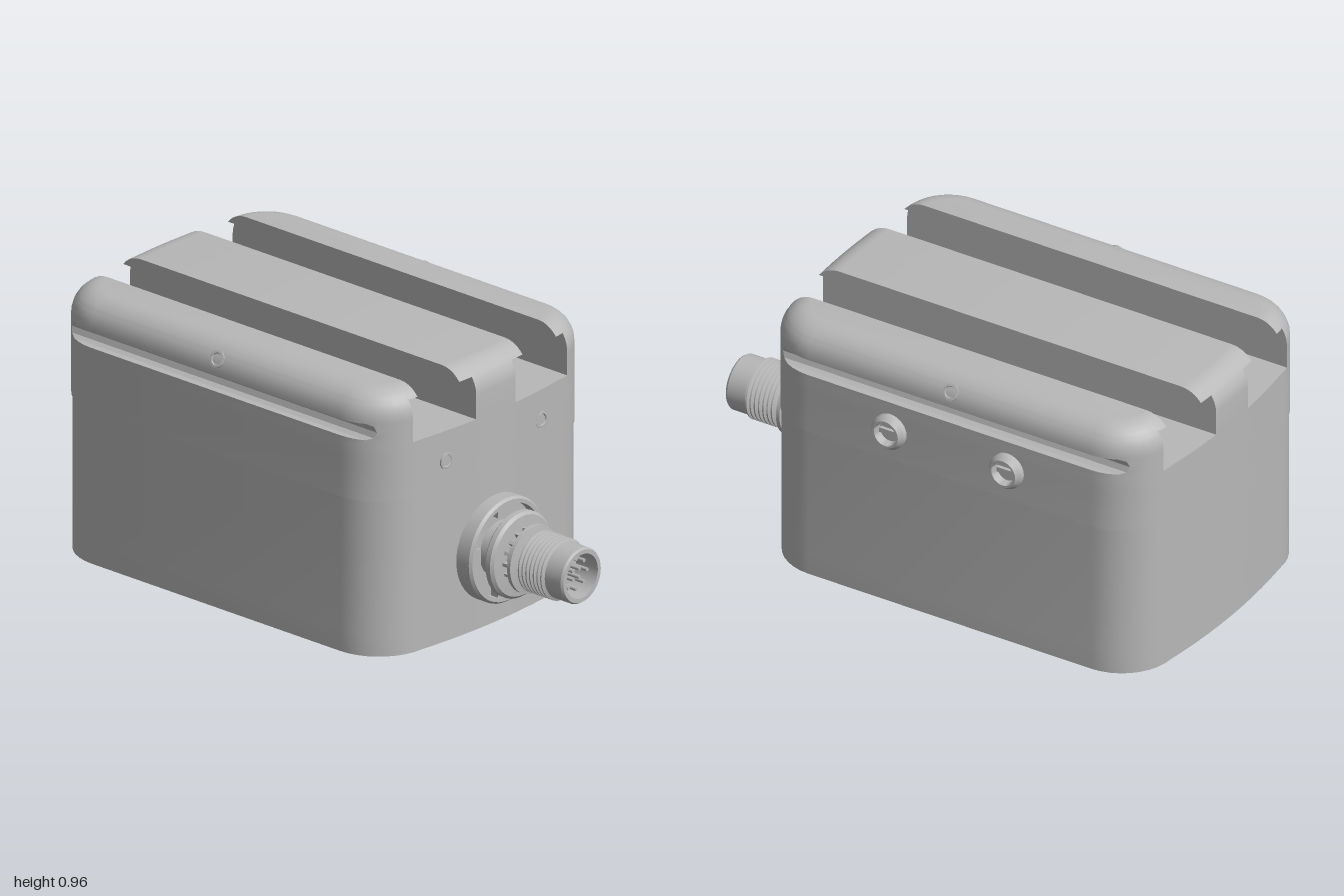
import * as THREE from 'three';
import { toCreasedNormals } from 'three/addons/utils/BufferGeometryUtils.js';

const grey = new THREE.MeshStandardMaterial({ color: 0xb8b8b8, side: THREE.DoubleSide });
grey.name = 'machined grey';

// Footprint: half length L with bowed ends, half width W, rounded corners
const L = 0.79, W = 0.545, R = 0.2, VC = W - R;
const bow = (v) => L - 0.2 * v * v;

// One section of the housing, inset by d and kept between v = a and v = b
function section(d, a, b) {
  const r = R - d, vs = [], N = 9, M = 10;
  for (let i = N; i > 0; i--) vs.push(-VC - r * Math.sin((i / N) * Math.PI / 2));
  for (let i = 0; i <= M; i++) vs.push(-VC + (2 * VC * i) / M);
  for (let i = 1; i <= N; i++) vs.push(VC + r * Math.sin((i / N) * Math.PI / 2));
  const half = vs.map((s) => {
    const v = Math.min(b, Math.max(a, s)), over = Math.abs(v) - VC;
    const u = over <= 0 ? bow(v) - d : bow(VC) - R + Math.sqrt(Math.max(0, r * r - over * over));
    return [u, v];
  });
  return [...half, ...half.slice().reverse().map(([u, v]) => [-u, v])];
}

// Solid through stacked sections, each given as [y, inset, a, b]
function loft(rings) {
  const loops = rings.map(([y, d, a = -1, b = 1]) =>
    section(d, a, b).map(([u, v]) => new THREE.Vector3(u, y, v)));
  const pos = [], n = loops[0].length;
  const tri = (...p) => {
    const area = p[1].clone().sub(p[0]).cross(p[2].clone().sub(p[0])).length();
    if (area > 1e-9) p.forEach((q) => pos.push(q.x, q.y, q.z));
  };
  for (let k = 0; k + 1 < loops.length; k++) {
    for (let i = 0; i < n; i++) {
      const j = (i + 1) % n, lo = loops[k], hi = loops[k + 1];
      tri(lo[i], hi[i], lo[j]);
      tri(hi[i], hi[j], lo[j]);
    }
  }
  const bot = loops[0], top = loops[loops.length - 1];
  for (let i = 0; i + 1 < n / 2; i++) {
    const m = n - 1 - i;
    tri(top[i], top[m - 1], top[i + 1]);
    tri(top[i], top[m], top[m - 1]);
    tri(bot[i], bot[i + 1], bot[m - 1]);
    tri(bot[i], bot[m - 1], bot[m]);
  }
  const g = new THREE.BufferGeometry();
  g.setAttribute('position', new THREE.Float32BufferAttribute(pos, 3));
  return toCreasedNormals(g, 0.5);
}

// Full-footprint plate with holes, from y0 to y1
function plate(y0, y1, d, holes) {
  const s = new THREE.Shape(section(d, -1, 1).map(([u, v]) => new THREE.Vector2(u, v)));
  s.holes.push(...holes);
  const g = new THREE.ExtrudeGeometry(s, { depth: y1 - y0, bevelEnabled: false, curveSegments: 14 });
  g.rotateX(Math.PI / 2).translate(0, y1, 0);
  return toCreasedNormals(g, 0.5);
}

const circle = (u, v, r) => new THREE.Path().absarc(u, v, r, 0, Math.PI * 2, true);

// Turned part: points are [radius, height]
const turned = (pts, seg = 32) =>
  toCreasedNormals(new THREE.LatheGeometry(pts.map(([r, h]) => new THREE.Vector2(r, h)), seg), 0.5);

export function createModel() {
  const root = new THREE.Group();
  const device = new THREE.Group();
  device.name = 'device';
  device.rotation.y = -Math.PI / 12;
  device.position.x = -0.165;
  root.add(device);

  const add = (name, geo, parent = device) => {
    const m = new THREE.Mesh(geo, grey);
    m.name = name;
    parent.add(m);
    return m;
  };

  // Underside with four pairs of countersunk holes
  const feet = [];
  for (const su of [-1, 1]) for (const sv of [-1, 1]) {
    feet.push([su * 0.637, sv * 0.36, 0.068], [su * 0.448, sv * 0.36, 0.055]);
  }
  add('basePlate', plate(0, 0.08, 0.004, feet.map((f) => circle(...f))));
  for (const [u, v, r] of feet) {
    add('countersink', turned([[r, 0], [r * 0.55, 0.035], [r * 0.55, 0.08]], 24)).position.set(u, 0, v);
  }

  // Housing with a fine seam between lower and upper shell
  add('lowerShell', loft([[0.08, 0.004], [0.57, 0.004]]));
  add('upperShell', loft([[0.57, 0], [0.72, 0]]));

  // Slot floor with an oblong window and two small holes
  const oblong = new THREE.Path();
  oblong.absarc(0.13, 0.25, 0.06, Math.PI / 2, -Math.PI / 2, true);
  oblong.absarc(-0.13, 0.25, 0.06, -Math.PI / 2, -Math.PI * 1.5, true);
  add('slotFloor', plate(0.72, 0.775, 0,
    [oblong, circle(-0.29, 0.25, 0.02), circle(0.29, 0.25, 0.02)]));

  // Rounded upper edge shared by the rails
  const edge = (a, b) => {
    const out = [];
    for (let i = 0; i <= 8; i++) {
      const t = (i / 8) * Math.PI / 2, y = 0.865 + 0.1 * Math.sin(t);
      const lip = y > 0.925;
      if (lip && !out.lip) {
        out.push([0.925, 0.02, a[0], b[0]], [0.925, 0.02, a[1], b[1]]);
        out.lip = true;
      }
      out.push([y, 0.1 * (1 - Math.cos(t)), a[+lip], b[+lip]]);
    }
    return out;
  };
  add('centreRail', loft([[0.775, 0, -0.1, 0.1], ...edge([-0.1, -0.16], [0.1, 0.16])]));

  // Side rails with the long grip groove on the outside
  const side = [
    [0.775, 0, 0.39, 1], [0.795, 0, 0.39, 1], [0.795, 0, 0.39, 0.52], [0.804, 0, 0.39, 0.505],
    [0.825, 0, 0.39, 0.498], [0.846, 0, 0.39, 0.505], [0.855, 0, 0.39, 0.52], [0.855, 0, 0.39, 1],
    ...edge([0.39, 0.35], [1, 1]),
  ];
  add('frontRail', loft(side));
  add('backRail', loft(side.map(([y, d, a, b]) => [y, d, -b, -a])));

  // Small hole rims on the rails and on the connector end
  const rim = [[0.03, -0.01], [0.03, 0.003], [0.022, 0.004], [0.02, -0.001], [0, -0.001]];
  for (const s of [-1, 1]) {
    const h = add('railHole', turned(rim, 20));
    h.position.set(0, 0.91, s * 0.534);
    h.rotation.x = s * (Math.PI / 2 - 0.46);
    const e = add('endHole', turned(rim, 20));
    e.position.set(bow(0.24), 0.665, s * 0.24);
    e.rotation.z = -Math.PI / 2;
  }

  // Two ring buttons on the back, each with a slotted core
  for (const s of [-1, 1]) {
    const button = new THREE.Group();
    button.name = 'backButton';
    button.position.set(s * 0.235, 0.685, -W);
    button.rotation.x = -Math.PI / 2;
    add('buttonRing', turned([[0.065, -0.02], [0.065, 0.018], [0.052, 0.035], [0.044, 0.035],
      [0.04, 0.003], [0, 0.003]], 28), button);
    add('buttonBar', new THREE.BoxGeometry(0.07, 0.016, 0.018), button).position.y = 0.008;
    device.add(button);
  }

  // Round connector on the right-hand end
  const plug = new THREE.Group();
  plug.name = 'connector';
  plug.position.y = 0.278;
  plug.rotation.z = -Math.PI / 2;
  device.add(plug);
  add('flange', turned([[0.19, 0.74], [0.19, 0.835], [0.182, 0.845], [0.168, 0.845], [0.168, 0.805],
    [0.1, 0.805], [0.1, 0.872]], 48), plug);
  add('nut', turned([[0.1, 0.87], [0.145, 0.87], [0.155, 0.88], [0.155, 0.9], [0.145, 0.91],
    [0.085, 0.915], [0.085, 0.945], [0.122, 0.948], [0.122, 0.962], [0.085, 0.968], [0.085, 0.98]], 40), plug);
  const thread = [[0.085, 0.975]];
  for (let i = 0; i < 7; i++) {
    const h = 0.98 + i * 0.017;
    thread.push([0.096, h], [0.11, h + 0.006], [0.11, h + 0.011], [0.096, h + 0.017]);
  }
  thread.push([0.1, 1.1], [0.1, 1.172], [0.095, 1.18], [0.08, 1.18], [0.08, 1.08], [0, 1.08]);
  add('threadedSleeve', turned(thread, 40), plug);

  // Flange tabs, spring ribs and contact pins
  const around = (count, r, h, make, offset = 0) => {
    for (let i = 0; i < count; i++) {
      const t = ((i + offset) / count) * Math.PI * 2;
      const m = make();
      m.position.set(r * Math.cos(t), h, r * Math.sin(t));
      m.rotation.y = -t;
    }
  };
  around(4, 0.15, 0.82, () => add('flangeTab', new THREE.BoxGeometry(0.04, 0.035, 0.09), plug));
  around(16, 0.095, 0.93, () => add('springRib', new THREE.BoxGeometry(0.02, 0.04, 0.012), plug));
  const pin = () => add('contactPin', new THREE.CylinderGeometry(0.007, 0.007, 0.08, 8), plug);
  around(8, 0.055, 1.115, pin);
  around(4, 0.022, 1.115, pin, 0.5);

  return root;
}
